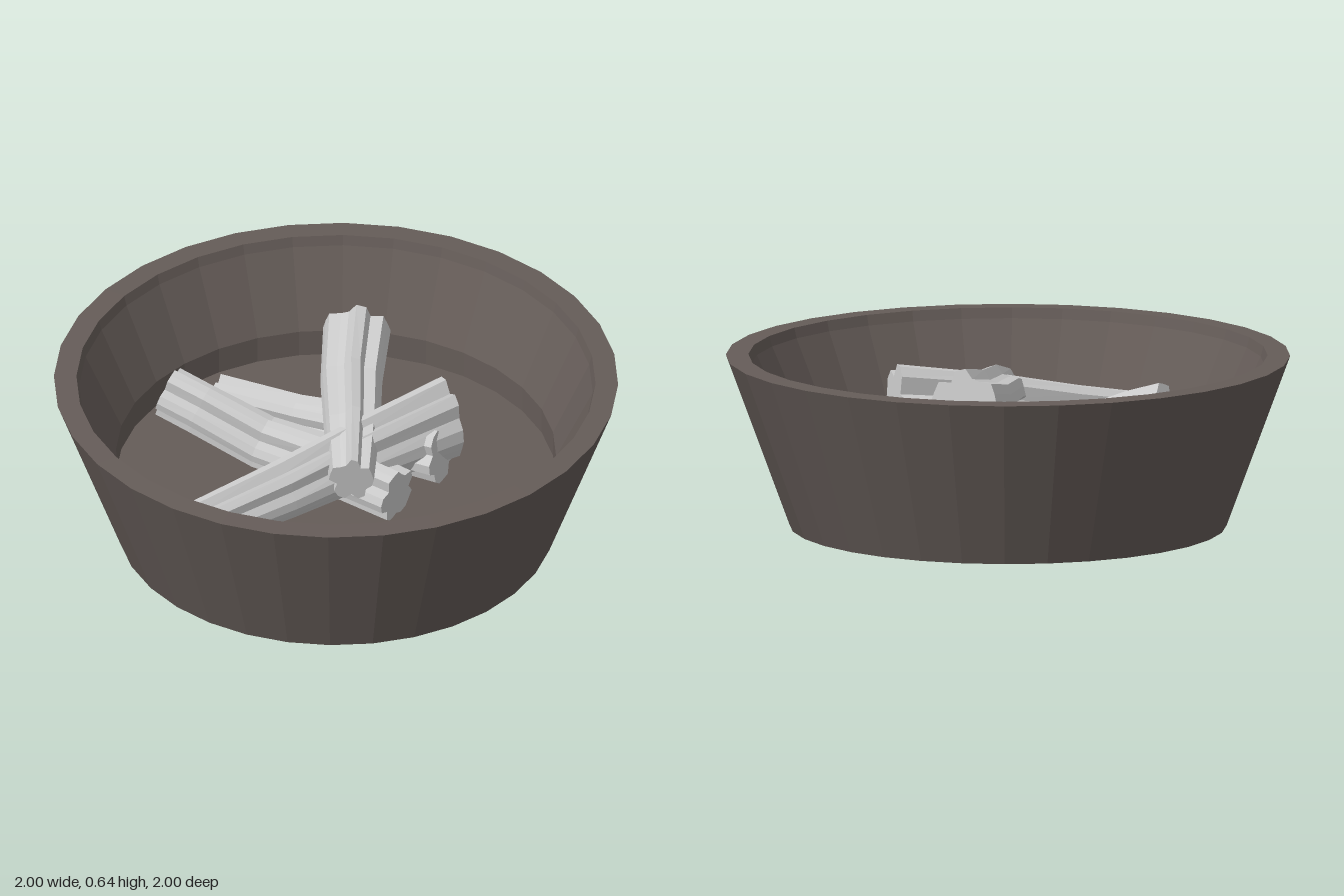
import * as THREE from 'three';

const SIDES = 32;
const bowlMat = new THREE.MeshStandardMaterial({ color: 0x655c58, flatShading: true, side: THREE.DoubleSide });
const logMat = new THREE.MeshStandardMaterial({ color: 0xcccccc, flatShading: true, side: THREE.DoubleSide });

// Radii around a split log: bark lobes separated by sharp grooves
const BARK = [1, 0.95, 0.98, 0.7, 0.96, 1, 0.74, 0.78, 1, 0.97, 1, 0.66, 0.94, 1, 0.97, 0.72, 0.98, 1, 0.8, 0.96];

// Sweeps the grooved section along a bent path; each station is [x, y, z, halfWidth, halfHeight]
function logGeometry(stations, shift) {
  const n = BARK.length;
  const centres = stations.map(([x, y, z]) => new THREE.Vector3(x, y, z));
  const up = new THREE.Vector3(0, 1, 0);
  const pos = [];
  const index = [];

  stations.forEach(([, , , w, h], i) => {
    const dir = centres[Math.min(i + 1, centres.length - 1)].clone()
      .sub(centres[Math.max(i - 1, 0)]).normalize();
    const side = up.clone().cross(dir).normalize();
    const rise = dir.clone().cross(side);
    for (let k = 0; k < n; k++) {
      const a = (k / n) * Math.PI * 2;
      const r = BARK[(k + shift) % n];
      const p = centres[i].clone()
        .addScaledVector(side, Math.cos(a) * r * w)
        .addScaledVector(rise, Math.sin(a) * r * h);
      pos.push(p.x, p.y, p.z);
    }
  });

  // Bark
  const last = (stations.length - 1) * n;
  for (let i = 0; i < last; i += n) {
    for (let k = 0; k < n; k++) {
      const a = i + k, b = i + (k + 1) % n;
      index.push(a, b, a + n, b, b + n, a + n);
    }
  }

  // Cut ends
  const c0 = pos.length / 3;
  pos.push(...centres[0].toArray(), ...centres[centres.length - 1].toArray());
  for (let k = 0; k < n; k++) {
    const j = (k + 1) % n;
    index.push(c0, j, k, c0 + 1, last + k, last + j);
  }

  const g = new THREE.BufferGeometry();
  g.setAttribute('position', new THREE.Float32BufferAttribute(pos, 3));
  g.setIndex(index);
  g.computeVertexNormals();
  return g;
}

export function createModel() {
  const model = new THREE.Group();
  model.name = 'firePit';

  // Bowl: tapered outside, flat rim, sloping inside with a short step to the floor
  const profile = [
    [0, 0], [0.775, 0], [1, 0.61], [0.92, 0.612], [0.91, 0.575],
    [0.78, 0.3], [0.78, 0.2], [0, 0.2],
  ].map(([x, y]) => new THREE.Vector2(x, y));
  const bowl = new THREE.Mesh(new THREE.LatheGeometry(profile, SIDES), bowlMat);
  bowl.name = 'bowl';
  model.add(bowl);

  // Logs stacked across each other, each leaning on the next
  const logs = {
    backLog: [
      [-0.12, 0.52, -0.45, 0.12, 0.12],
      [-0.03, 0.47, -0.2, 0.11, 0.12],
      [0.08, 0.45, 0.04, 0.1, 0.11],
      [0.18, 0.4, 0.27, 0.08, 0.1],
    ],
    rightLog: [
      [-0.61, 0.46, 0.1, 0.09, 0.1],
      [-0.48, 0.42, 0.1, 0.09, 0.1],
      [-0.25, 0.33, 0.08, 0.1, 0.1],
      [-0.02, 0.31, 0.08, 0.11, 0.1],
      [0.3, 0.29, 0.14, 0.1, 0.1],
    ],
    lowLog: [
      [-0.51, 0.32, -0.11, 0.08, 0.1],
      [-0.2, 0.31, -0.12, 0.08, 0.1],
      [0.1, 0.32, -0.13, 0.1, 0.11],
      [0.36, 0.33, -0.12, 0.11, 0.12],
    ],
    frontLog: [
      [-0.26, 0.3, 0.63, 0.08, 0.1],
      [-0.05, 0.34, 0.34, 0.09, 0.12],
      [0.12, 0.38, 0.1, 0.09, 0.14],
      [0.34, 0.41, -0.22, 0.1, 0.17],
    ],
  };
  Object.entries(logs).forEach(([name, stations], i) => {
    const log = new THREE.Mesh(logGeometry(stations, i * 3), logMat);
    log.name = name;
    model.add(log);
  });

  return model;
}
